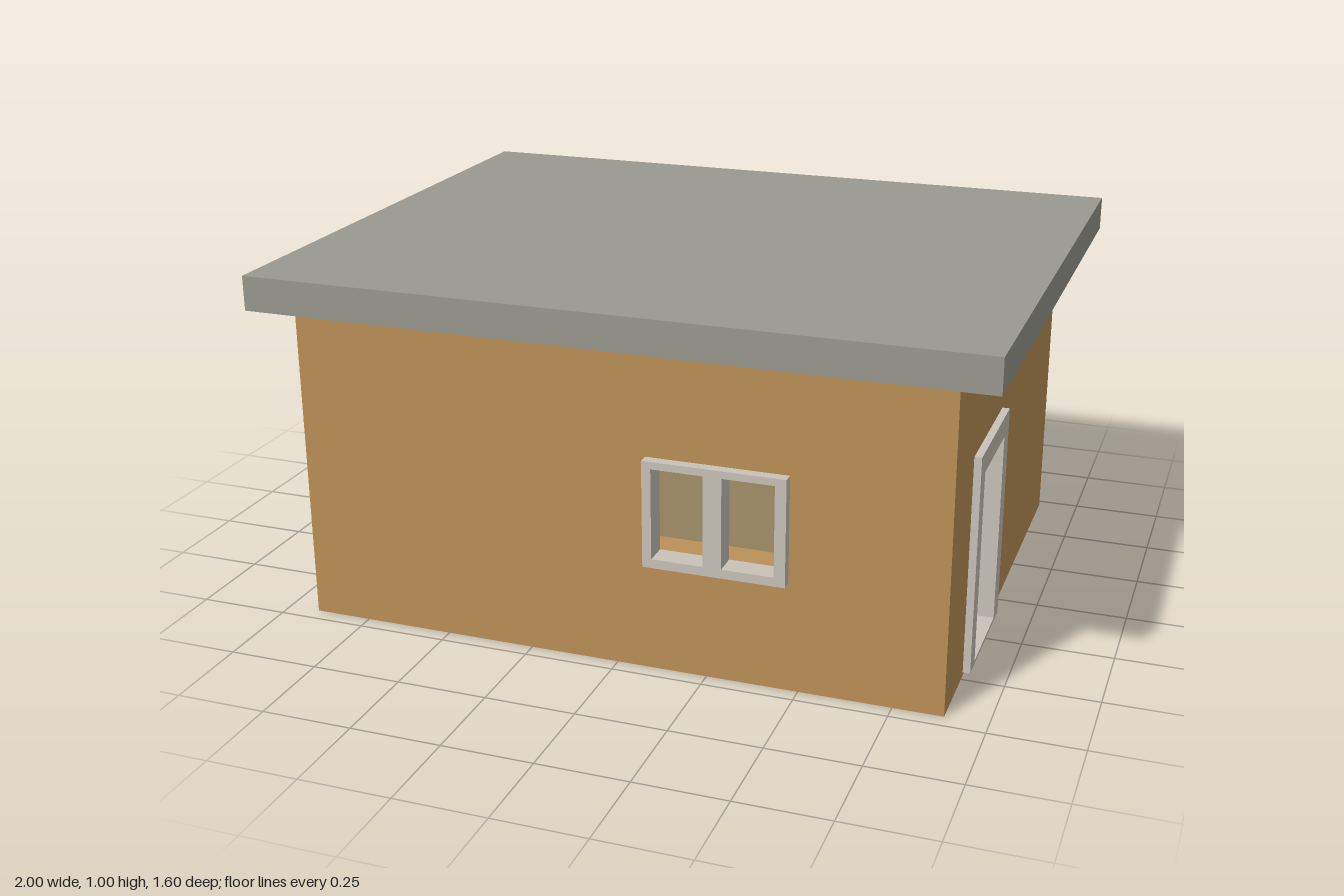
import * as THREE from 'three';

const mat = (name, color) => {
  const m = new THREE.MeshStandardMaterial({ color });
  m.name = name;
  return m;
};

// Rectangle path used for outlines and openings: [x0, y0, x1, y1]
function rect(target, [x0, y0, x1, y1]) {
  target.moveTo(x0, y0);
  target.lineTo(x1, y0);
  target.lineTo(x1, y1);
  target.lineTo(x0, y1);
  target.closePath();
  return target;
}

// Upright panel with rectangular openings, extruded along +z from z = 0
function panel(name, material, outline, holes, depth) {
  const shape = rect(new THREE.Shape(), outline);
  holes.forEach(h => shape.holes.push(rect(new THREE.Path(), h)));
  const geo = new THREE.ExtrudeGeometry(shape, { depth, bevelEnabled: false });
  const mesh = new THREE.Mesh(geo, material);
  mesh.name = name;
  return mesh;
}

// Box given by its two corners
function block(name, material, [x0, y0, z0], [x1, y1, z1]) {
  const mesh = new THREE.Mesh(new THREE.BoxGeometry(x1 - x0, y1 - y0, z1 - z0), material);
  mesh.position.set((x0 + x1) / 2, (y0 + y1) / 2, (z0 + z1) / 2);
  mesh.name = name;
  return mesh;
}

export function createModel() {
  const house = new THREE.Group();
  house.name = 'house';
  const wall = mat('wallOchre', 0xbc9158);
  const roof = mat('roofGrey', 0x999991);
  const trim = mat('trimStone', 0xc8c2b8);
  const inner = mat('partitionOlive', 0xa5916a);

  const L = -0.91, R = 0.885, F = 0.705, B = -0.72, H = 0.905, T = 0.03;

  // Flat overhanging roof and floor slab
  house.add(block('roof', roof, [-1, H, -0.8], [1, 1, 0.8]));
  house.add(block('floor', wall, [L + T, 0, B + T], [R - T, 0.01, F - T]));

  // Front wall with window opening, and plain back wall
  const front = panel('frontWall', wall, [L, 0, R, H], [[0.1, 0.32, 0.455, 0.59]], T);
  front.position.z = F - T;
  house.add(front, block('backWall', wall, [L, 0, B], [R, H, B + T]));

  // Two-pane window frame
  const windowFrame = panel('windowFrame', trim, [0.085, 0.305, 0.47, 0.6],
    [[0.11, 0.33, 0.25, 0.58], [0.3, 0.33, 0.44, 0.58]], 0.065);
  windowFrame.position.z = 0.67;
  house.add(windowFrame);

  // Side walls with facing doorways (panel x runs along -z after the turn)
  const sides = [
    ['right', R - T, 0.845, 0.06],
    ['left', L, -0.935, 0.06],
  ];
  for (const [side, wallX, frameX, depth] of sides) {
    const w = panel(side + 'Wall', wall, [-F + T, 0, -B - T, H], [[-0.45, 0.015, -0.13, 0.59]], T);
    const f = panel(side + 'DoorFrame', trim, [-0.48, 0.01, -0.1, 0.62], [[-0.425, 0.02, -0.16, 0.56]], depth);
    w.position.x = wallX;
    f.position.x = frameX;
    w.rotation.y = f.rotation.y = Math.PI / 2;
    house.add(w, f);
  }

  // Inner partition with a pale door panel and its sill
  house.add(block('partition', inner, [L + T, 0.01, -0.1], [R - T, H, -0.07]));
  house.add(block('innerDoor', trim, [0.395, 0.01, -0.12], [0.75, 0.62, -0.05]));
  house.add(block('innerDoorSill', trim, [0.395, 0.01, -0.05], [0.75, 0.03, 0]));

  return house;
}
